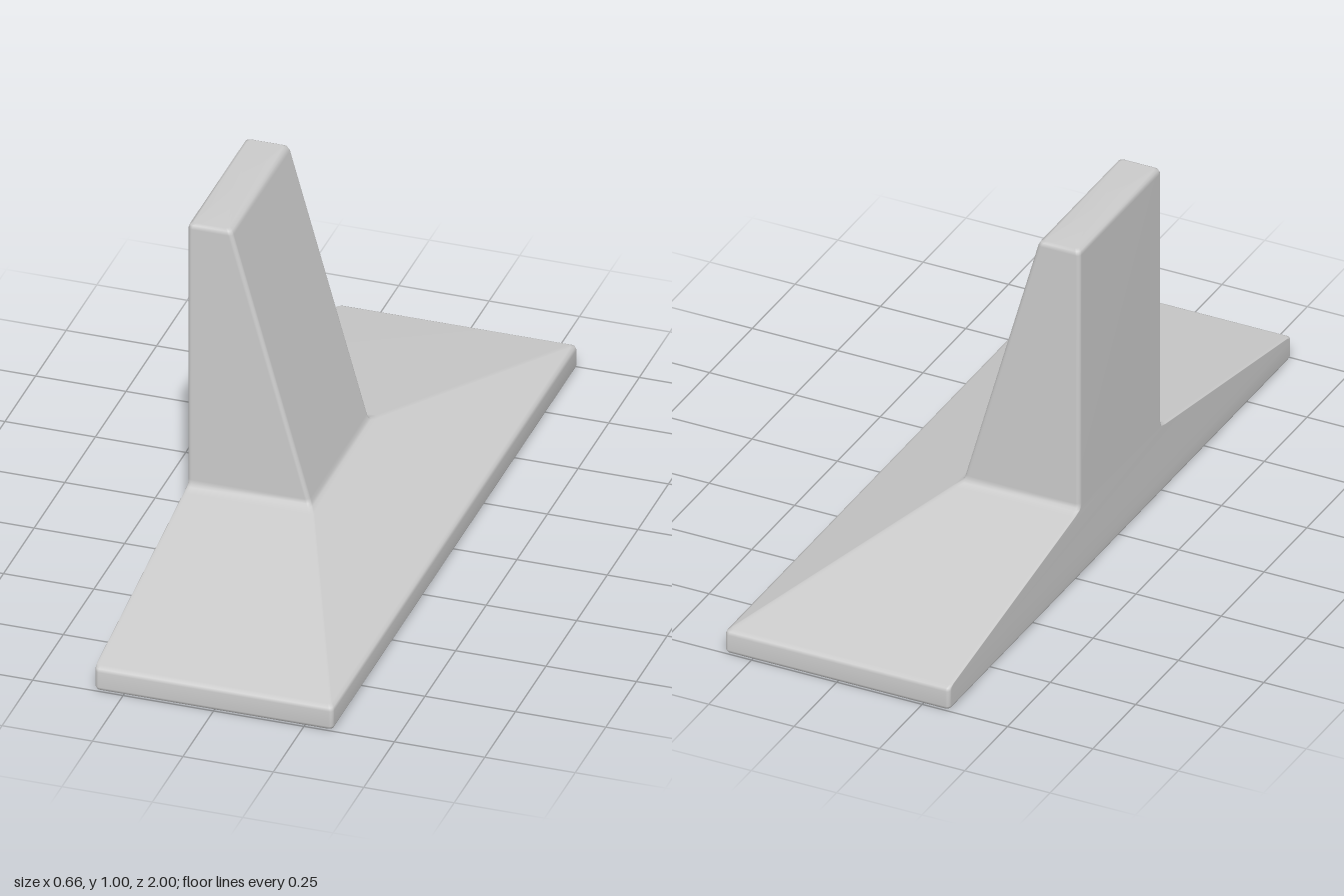
import * as THREE from 'three';

const ARC = 4; // segments per rounded corner

// Horizontal rounded rectangle as a loop of points: [y, xBack, xFront, halfDepth, cornerRadius]
function ringPoints([y, x0, x1, hz, r = 0.012]) {
  const corners = [[x1 - r, hz - r], [x0 + r, hz - r], [x0 + r, -hz + r], [x1 - r, -hz + r]];
  const points = [];
  corners.forEach(([cx, cz], q) => {
    for (let i = 0; i <= ARC; i++) {
      const a = (q + i / ARC) * Math.PI / 2;
      points.push(cx + r * Math.cos(a), y, cz + r * Math.sin(a));
    }
  });
  return points;
}

// Skin a stack of rings
function loft(rings) {
  const n = 4 * (ARC + 1);
  const index = [];
  for (let k = 0; k < rings.length - 1; k++) {
    for (let i = 0; i < n; i++) {
      const a = k * n + i, b = k * n + (i + 1) % n;
      index.push(a, a + n, b, b, a + n, b + n);
    }
  }
  const geometry = new THREE.BufferGeometry();
  geometry.setAttribute('position', new THREE.Float32BufferAttribute(rings.flatMap(ringPoints), 3));
  geometry.setIndex(index);
  geometry.computeVertexNormals();
  return geometry;
}

export function createModel() {
  const group = new THREE.Group();
  const add = (name, geometry, flatShading = false) => {
    const mesh = new THREE.Mesh(geometry, new THREE.MeshStandardMaterial({ color: 0xcccccc, flatShading }));
    mesh.name = name;
    group.add(mesh);
  };

  // Sloping foot and tapered upright, flush along the back
  add('footAndUpright', loft([
    // underside rim and rounded lower edge
    [0, -0.28, 0.28, 0.95],
    [0, -0.318, 0.318, 0.988],
    [0.0035, -0.3265, 0.3265, 0.9965],
    [0.012, -0.33, 0.33, 1],
    // side band and rounded upper edge
    [0.057, -0.33, 0.33, 1],
    [0.066, -0.33, 0.327, 0.997],
    [0.072, -0.33, 0.318, 0.985],
    // slope and fillet into the upright
    [0.197, -0.33, 0.028, 0.272],
    [0.203, -0.33, 0.016, 0.249],
    [0.21, -0.33, 0.011, 0.242],
    [0.222, -0.33, 0.007, 0.24],
    // upright and its rounded top
    [0.98, -0.33, -0.205, 0.24],
    [0.991, -0.3265, -0.2105, 0.2365],
    [0.995, -0.318, -0.22, 0.228],
    [0.995, -0.27, -0.27, 0, 0],
  ]));

  // Shallow recess under the foot
  add('undersideRecess', loft([
    [0.03, 0, 0, 0, 0],
    [0.03, -0.28, 0.28, 0.95],
    [0, -0.28, 0.28, 0.95],
  ]), true);

  return group;
}
